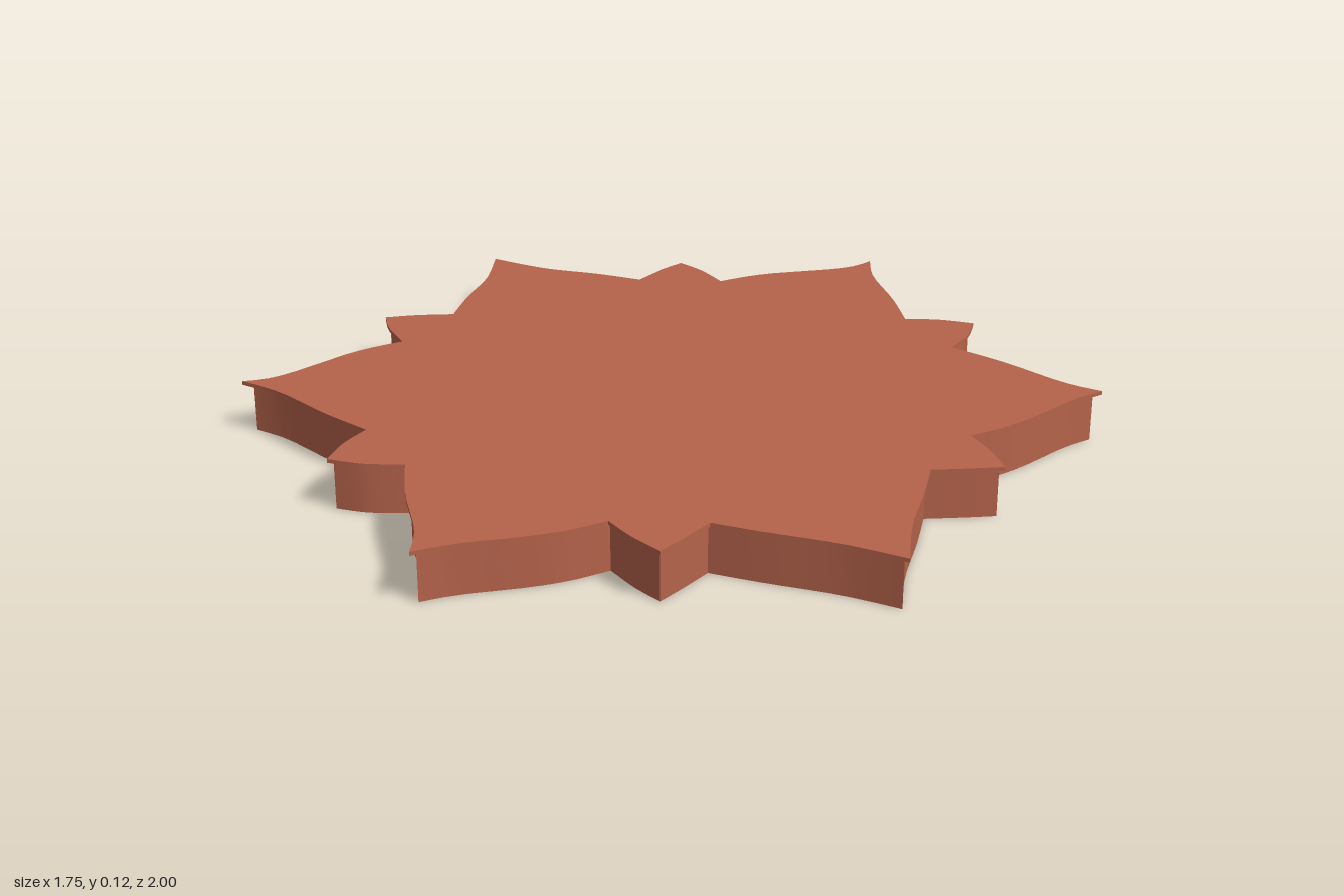
import * as THREE from 'three';
import { toCreasedNormals } from 'three/addons/utils/BufferGeometryUtils.js';

// Right half of the star outline as [x, z], back tip to front tip; each row is one curved edge
const EDGES = [
  [[0, -1], [0.085, -0.87], [0.185, -0.77], [0.265, -0.675]],
  [[0.265, -0.675], [0.35, -0.713], [0.423, -0.735]],
  [[0.423, -0.735], [0.443, -0.66], [0.448, -0.563]],
  [[0.448, -0.563], [0.52, -0.562], [0.6, -0.55], [0.74, -0.507], [0.815, -0.495], [0.876, -0.508]],
  [[0.876, -0.508], [0.82, -0.405], [0.772, -0.24], [0.722, -0.107]],
  [[0.722, -0.107], [0.795, -0.06], [0.855, 0]],
  [[0.855, 0], [0.795, 0.06], [0.716, 0.107]],
  [[0.716, 0.107], [0.772, 0.245], [0.82, 0.41], [0.868, 0.499]],
  [[0.868, 0.499], [0.772, 0.509], [0.64, 0.545], [0.545, 0.562], [0.453, 0.562]],
  [[0.453, 0.562], [0.444, 0.65], [0.423, 0.735]],
  [[0.423, 0.735], [0.35, 0.705], [0.272, 0.67]],
  [[0.272, 0.67], [0.195, 0.76], [0.085, 0.88], [0, 1]],
];

function outline() {
  const half = [];
  for (const edge of EDGES) {
    const curve = new THREE.SplineCurve(edge.map(([x, z]) => new THREE.Vector2(x, -z)));
    half.push(...curve.getPoints(10).slice(0, -1));
  }
  const left = half.slice(1).reverse().map((p) => new THREE.Vector2(-p.x, p.y));
  return [...half, new THREE.Vector2(0, -1), ...left];
}

// Moves a clockwise outline inward with mitred corners
function inset(points, amount) {
  const n = points.length;
  const normal = (a, b) => new THREE.Vector2(b.y - a.y, a.x - b.x).normalize();
  return points.map((p, i) => {
    const n1 = normal(points[(i + n - 1) % n], p);
    const n2 = normal(p, points[(i + 1) % n]);
    return n1.clone().add(n2).multiplyScalar(amount / (1 + n1.dot(n2))).add(p);
  });
}

// Upright slab from height y0 to y1
function slab(name, points, y0, y1, material) {
  let geometry = new THREE.ExtrudeGeometry(new THREE.Shape(points), {
    depth: y1 - y0, bevelEnabled: false,
  });
  geometry.rotateX(-Math.PI / 2);
  geometry.translate(0, y0, 0);
  geometry = toCreasedNormals(geometry, 0.45);
  const mesh = new THREE.Mesh(geometry, material);
  mesh.name = name;
  return mesh;
}

export function createModel() {
  const group = new THREE.Group();
  group.name = 'starPlatform';
  const clay = new THREE.MeshStandardMaterial({ color: 0xb5634b });
  clay.name = 'terracotta';
  const rim = outline();

  group.add(slab('body', inset(rim, 0.011), 0, 0.115, clay));
  // Thin overhanging lip that carries the flat top
  group.add(slab('topLip', rim, 0.114, 0.123, clay));
  return group;
}
